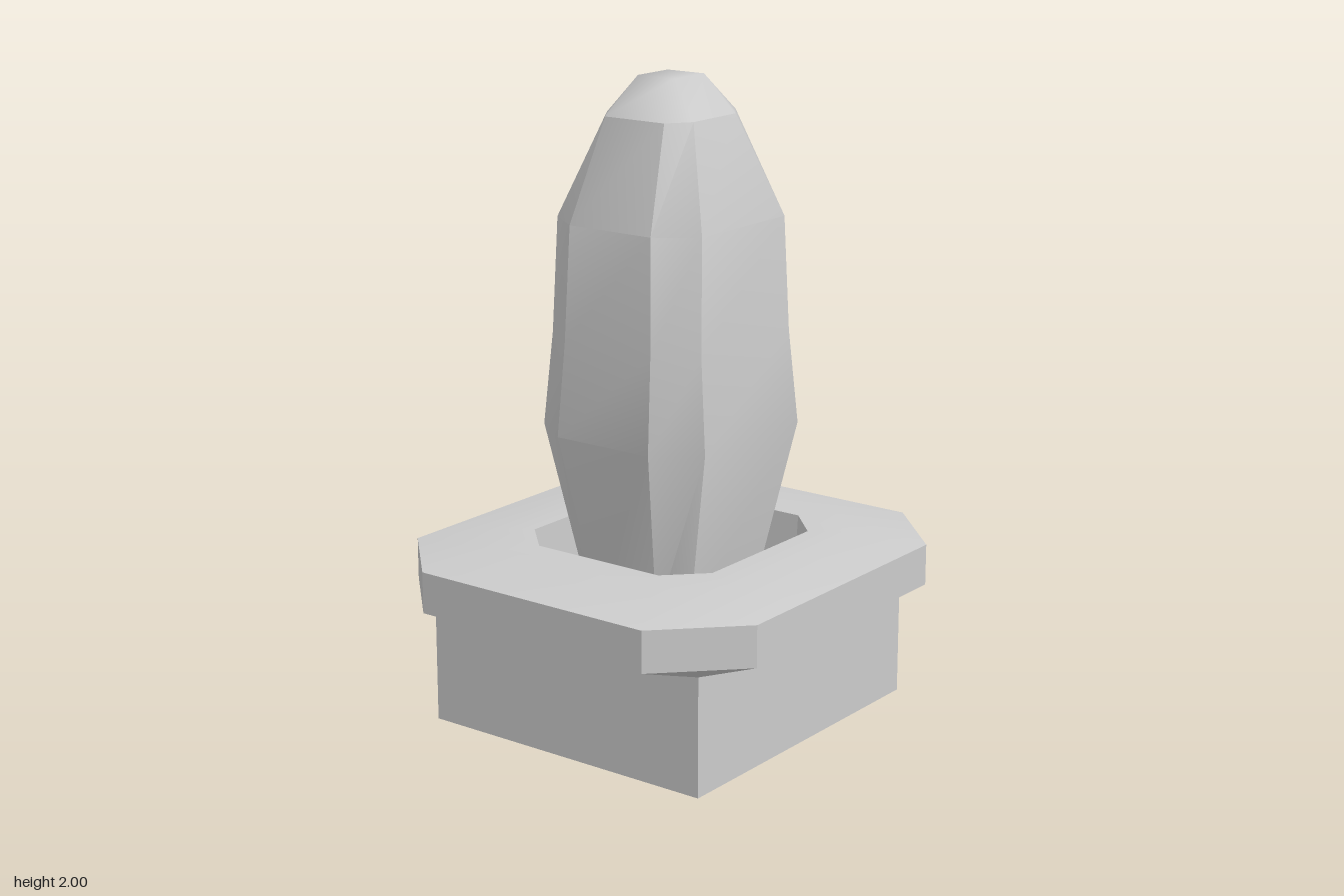
import * as THREE from 'three';
import { toCreasedNormals } from 'three/addons/utils/BufferGeometryUtils.js';

const material = new THREE.MeshStandardMaterial({ color: 0xcccccc });

// Eight-sided ring: half sizes x, z and corner starts cx, cz, at height y
function ring([y, x, z, cx, cz]) {
  return [[x, cz], [cx, z], [-cx, z], [-x, cz], [-x, -cz], [-cx, -z], [cx, -z], [x, -cz]]
    .map(([px, pz]) => new THREE.Vector3(px, y, pz));
}

// Skin over a list of rings, optionally closed on top
function loft(name, sections, crease, closeTop = false) {
  const rings = sections.map(ring);
  const pos = [];
  const tri = (a, b, c) => {
    if (new THREE.Triangle(a, b, c).getArea() < 1e-7) return;
    for (const p of [a, b, c]) pos.push(p.x, p.y, p.z);
  };
  for (let i = 0; i < rings.length - 1; i++) {
    for (let j = 0; j < 8; j++) {
      const k = (j + 1) % 8;
      const [a, b, c, d] = [rings[i][j], rings[i][k], rings[i + 1][j], rings[i + 1][k]];
      tri(a, c, b);
      tri(b, c, d);
    }
  }
  if (closeTop) {
    const top = rings[rings.length - 1];
    for (let j = 1; j < 7; j++) tri(top[0], top[j + 1], top[j]);
  }
  const geometry = new THREE.BufferGeometry();
  geometry.setAttribute('position', new THREE.Float32BufferAttribute(pos, 3));
  const mesh = new THREE.Mesh(toCreasedNormals(geometry, crease), material);
  mesh.name = name;
  return mesh;
}

function block(name, w, d, y0, y1) {
  const mesh = new THREE.Mesh(new THREE.BoxGeometry(w, y1 - y0, d), material);
  mesh.position.y = (y0 + y1) / 2;
  mesh.name = name;
  return mesh;
}

export function createModel() {
  const model = new THREE.Group();
  model.name = 'spikedPost';

  // Stepped base
  model.add(block('foot', 0.65, 0.71, 0, 0.08));
  model.add(block('baseBlock', 0.97, 1.03, 0.08, 0.44));

  // Collar: underside chamfer, rim, sloped top, then down into the well
  model.add(loft('collar', [
    [0.44, 0.485, 0.515, 0.485, 0.515],
    [0.475, 0.625, 0.66, 0.4, 0.435],
    [0.6, 0.625, 0.66, 0.4, 0.435],
    [0.635, 0.43, 0.45, 0.28, 0.3],
    [0.635, 0.33, 0.35, 0.22, 0.24],
    [0.44, 0.32, 0.34, 0.215, 0.235],
  ], 0.5));

  // Tapered spike rising from the well
  const shoulder = [1.89, 0.155, 0.17, 0.105, 0.1];
  model.add(loft('spike', [
    [0.44, 0.19, 0.215, 0.11, 0.16],
    [0.97, 0.295, 0.325, 0.165, 0.23],
    [1.25, 0.27, 0.3, 0.155, 0.215],
    [1.59, 0.26, 0.285, 0.145, 0.2],
    shoulder,
  ], 0.6));

  // Smooth rounded tip ending in a small flat
  model.add(loft('tip', [shoulder, [2, 0.065, 0.07, 0.065, 0.07]], 1.4, true));

  return model;
}
